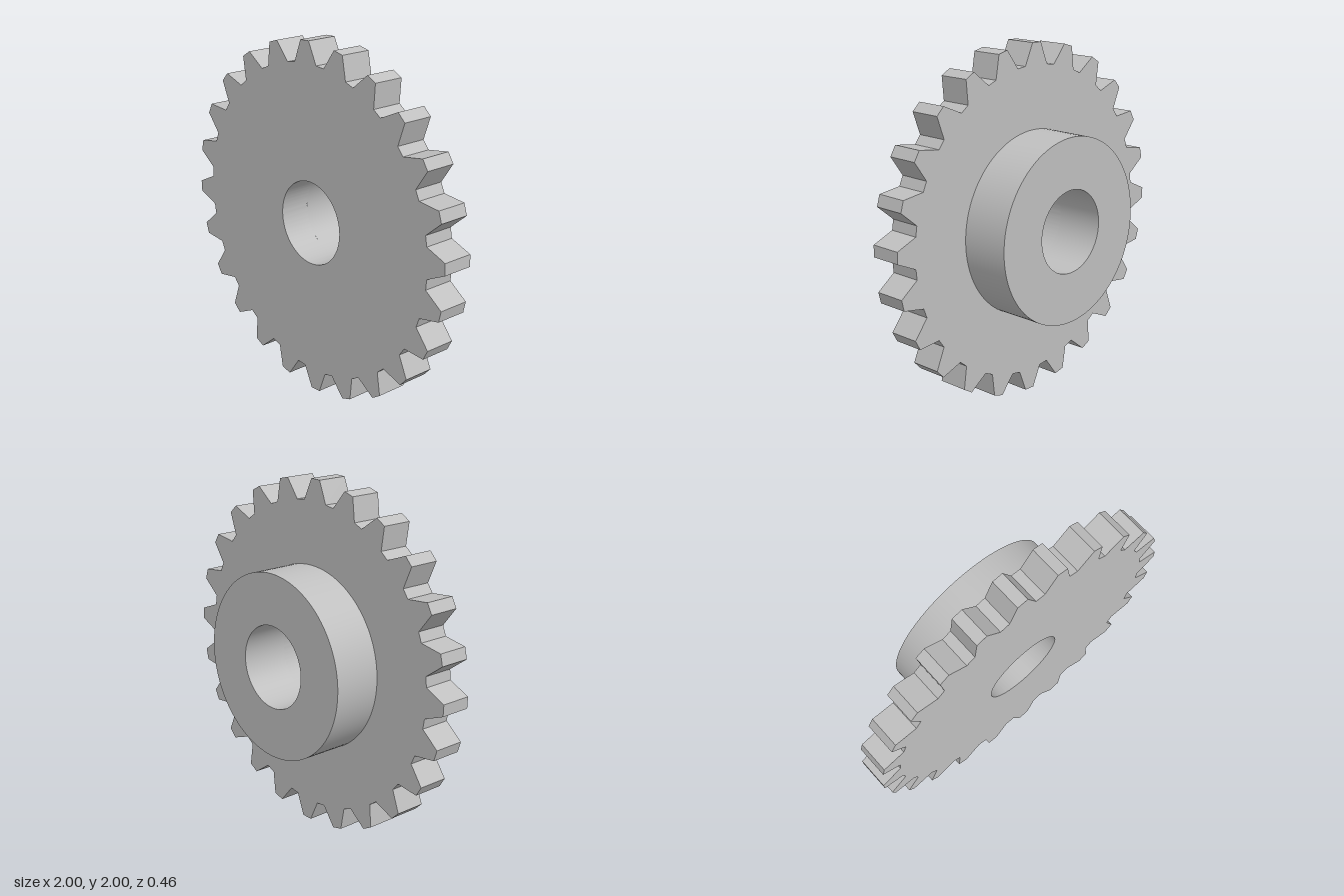
import * as THREE from 'three';
import { toCreasedNormals } from 'three/addons/utils/BufferGeometryUtils.js';

const TEETH = 24;
const TIP_R = 1.0, ROOT_R = 0.88, HUB_R = 0.525, BORE_R = 0.235;
const FRONT_Z = 0.23, PLATE_BACK_Z = 0.05, HUB_BACK_Z = -0.23;
const rad = THREE.MathUtils.degToRad;

// Outline of trapezoidal teeth, with the round bore as a hole
function gearShape() {
  const points = [];
  const add = (r, deg) => points.push(new THREE.Vector2(r * Math.cos(rad(deg)), r * Math.sin(rad(deg))));
  for (let i = 0; i < TEETH; i++) {
    const mid = 1.87 + (i * 360) / TEETH;
    add(ROOT_R, mid - 5.6);
    add(TIP_R, mid - 1.87);
    add(TIP_R, mid + 1.87);
    add(ROOT_R, mid + 5.6);
  }
  const shape = new THREE.Shape(points);
  shape.holes.push(new THREE.Path().absarc(0, 0, BORE_R, 0, Math.PI * 2, true));
  return shape;
}

export function createModel() {
  const model = new THREE.Group();
  model.name = 'spurGear';
  const steel = new THREE.MeshStandardMaterial({ color: 0xbfbfbf });
  steel.name = 'plain grey steel';

  // Toothed plate
  const plateGeo = new THREE.ExtrudeGeometry(gearShape(), {
    depth: FRONT_Z - PLATE_BACK_Z, bevelEnabled: false, curveSegments: 96,
  });
  plateGeo.translate(0, 0, PLATE_BACK_Z);
  const plate = new THREE.Mesh(toCreasedNormals(plateGeo, 0.3), steel);
  plate.name = 'toothedPlate';

  // Hub behind the plate: outer wall, back face and bore wall
  const profile = [
    [HUB_R, -PLATE_BACK_Z],
    [HUB_R, -HUB_BACK_Z],
    [BORE_R, -HUB_BACK_Z],
    [BORE_R, -PLATE_BACK_Z],
  ].map(([r, y]) => new THREE.Vector2(r, y));
  const hubGeo = new THREE.LatheGeometry(profile, 96);
  hubGeo.rotateX(-Math.PI / 2);
  const hub = new THREE.Mesh(toCreasedNormals(hubGeo, 0.3), steel);
  hub.name = 'hub';

  plate.position.y = hub.position.y = TIP_R;
  model.add(plate, hub);
  return model;
}
